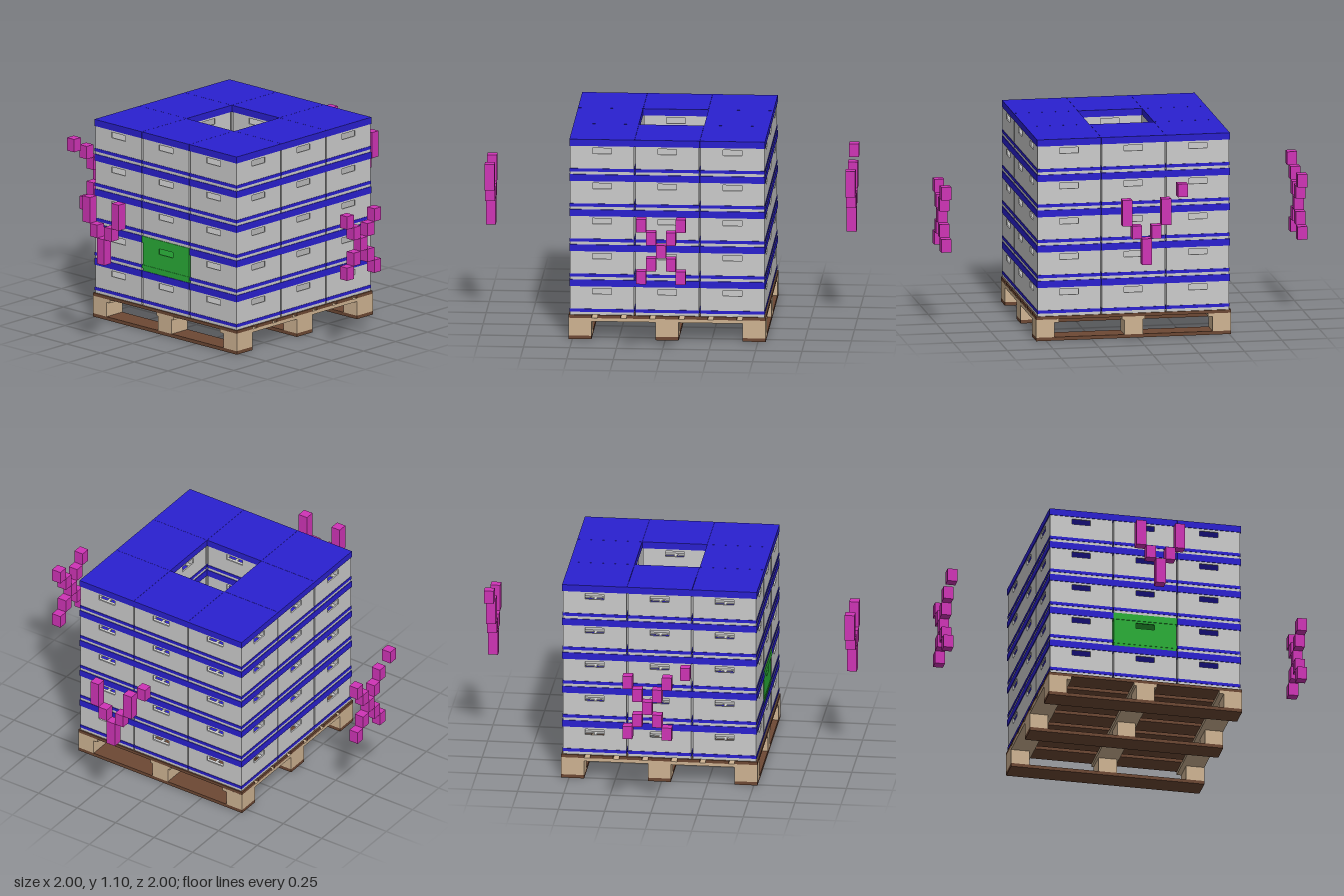
import * as THREE from 'three';
import { mergeGeometries } from 'three/addons/utils/BufferGeometryUtils.js';

const mat = (name, color) => {
  const m = new THREE.MeshStandardMaterial({ color });
  m.name = name;
  return m;
};

const CX = 0.011, CZ = 0.022;      // centre of the loaded pallet
const PITCH = 0.3515, LAYER = 0.1942, DECK = 0.134;

// Rectangle outline centred on (cx, cy)
function rect(target, cx, cy, w, h) {
  target.moveTo(cx - w / 2, cy - h / 2);
  target.lineTo(cx + w / 2, cy - h / 2);
  target.lineTo(cx + w / 2, cy + h / 2);
  target.lineTo(cx - w / 2, cy + h / 2);
  target.closePath();
  return target;
}

function plate(shape, depth) {
  return new THREE.ExtrudeGeometry(shape, { depth, bevelEnabled: false });
}

// Four crate walls with hand holes, plus a perforated floor
function crateBodyGeometry() {
  const W = 0.343, T = 0.008, H = 0.157;
  const parts = [];
  for (let i = 0; i < 4; i++) {
    const wall = rect(new THREE.Shape(), 0, H / 2, i % 2 ? W - 2 * T : W, H);
    wall.holes.push(rect(new THREE.Path(), 0, 0.13, 0.102, 0.031));
    const g = plate(wall, T);
    g.translate(0, 0, W / 2 - T);
    g.rotateY(i * Math.PI / 2);
    parts.push(g);
  }
  const floor = rect(new THREE.Shape(), 0, 0, W - 2 * T, W - 2 * T);
  for (let i = -2; i <= 2; i++)
    for (let j = -2; j <= 2; j++)
      floor.holes.push(rect(new THREE.Path(), i * 0.06, j * 0.06, 0.045, 0.045));
  const f = plate(floor, 0.006);
  f.rotateX(-Math.PI / 2);
  f.translate(0, 0.003, 0);
  parts.push(f);
  return mergeGeometries(parts);
}

// Band running around the foot of a crate
function bandGeometry() {
  const ring = rect(new THREE.Shape(), 0, 0, 0.348, 0.348);
  ring.holes.push(rect(new THREE.Path(), 0, 0, 0.342, 0.342));
  const g = plate(ring, 0.017);
  g.rotateX(-Math.PI / 2);
  g.translate(0, 0.0155, 0);
  return g;
}

export function createModel() {
  const blue = mat('lid blue', 0x2a20d0);
  const grey = mat('crate grey', 0xcbcbcb);
  const green = mat('crate green', 0x2aae38);
  const tan = mat('light wood', 0xceb392);
  const brown = mat('dark wood', 0x6d4834);
  const magenta = mat('marker magenta', 0xcf34b6);

  const model = new THREE.Group();
  model.name = 'loadedPallet';

  const add = (parent, name, geometry, material, x = 0, y = 0, z = 0) => {
    const m = new THREE.Mesh(geometry, material);
    m.name = name;
    m.position.set(x, y, z);
    parent.add(m);
    return m;
  };

  // Pallet: runners, blocks, cross boards, deck boards
  const pallet = new THREE.Group();
  pallet.name = 'pallet';
  pallet.position.set(CX, 0, CZ);
  model.add(pallet);
  const runner = new THREE.BoxGeometry(0.124, 0.019, 1.064);
  const block = new THREE.BoxGeometry(0.124, 0.08, 0.1);
  const cross = new THREE.BoxGeometry(1.062, 0.018, 0.125);
  const board = new THREE.BoxGeometry(0.124, 0.017, 1.064);
  for (let i = -1; i <= 1; i++) {
    add(pallet, 'runnerBoard', runner, brown, i * 0.469, 0.0095, 0);
    add(pallet, 'crossBoard', cross, tan, 0, 0.108, i * 0.4695);
    for (let j = -1; j <= 1; j++)
      add(pallet, 'block', block, tan, i * 0.469, 0.059, j * 0.482);
  }
  for (let i = -3; i <= 3; i++)
    add(pallet, 'deckBoard', board, brown, i * 0.1563, 0.1255, 0);

  // Crates: five layers of eight around an open shaft
  const body = crateBodyGeometry();
  const band = bandGeometry();
  const lid = new THREE.BoxGeometry(0.3505, 0.037, 0.3505);
  for (let k = 0; k < 5; k++)
    for (let i = -1; i <= 1; i++)
      for (let j = -1; j <= 1; j++) {
        if (i === 0 && j === 0) continue;
        const odd = k === 1 && i === -1 && j === 0;
        const crate = new THREE.Group();
        crate.name = odd ? 'greenCrate' : 'crate';
        crate.position.set(CX + i * PITCH, DECK + k * LAYER, CZ + j * PITCH);
        add(crate, 'crateBody', body, odd ? green : grey);
        add(crate, 'footBand', band, odd ? green : blue);
        add(crate, 'lid', lid, odd ? green : blue, 0, 0.1755, 0);
        model.add(crate);
      }

  // Floating markers made of small blocks; cells are [column, row]
  const U = 0.0533, V = 0.0718;
  const cube = new THREE.BoxGeometry(U, V, U);
  const crossCells = [], forkCells = [[0, 0], [0, 1], [-1, 2], [1, 2],
    [-2, 3], [2, 3], [-2, 4], [2, 4]];
  for (let i = -2; i <= 2; i++) {
    crossCells.push([i, i + 2]);
    if (i) crossCells.push([i, 2 - i]);
  }
  function marker(name, cells, x, z, y0, turn, extra) {
    const g = new THREE.Group();
    g.name = name;
    g.position.set(x, y0, z);
    g.rotation.y = turn;
    for (const [c, r] of cells) add(g, 'markerBlock', cube, magenta, c * U, (r + 0.5) * V, 0);
    if (extra) add(g, 'markerDot', cube, magenta, extra[0], extra[1], 0);
    model.add(g);
  }
  marker('frontMarker', crossCells, 0.006, 0.9715, 0.419, 0);
  marker('backMarker', crossCells, 0.021, -0.9715, 0.419, Math.PI, [0.205, 0.383]);
  marker('leftMarker', forkCells, 0.9715, 0.032, 0.495, Math.PI / 2, [0.196, 0.401]);
  marker('rightMarker', forkCells, -0.9735, 0.001, 0.495, -Math.PI / 2);

  return model;
}
